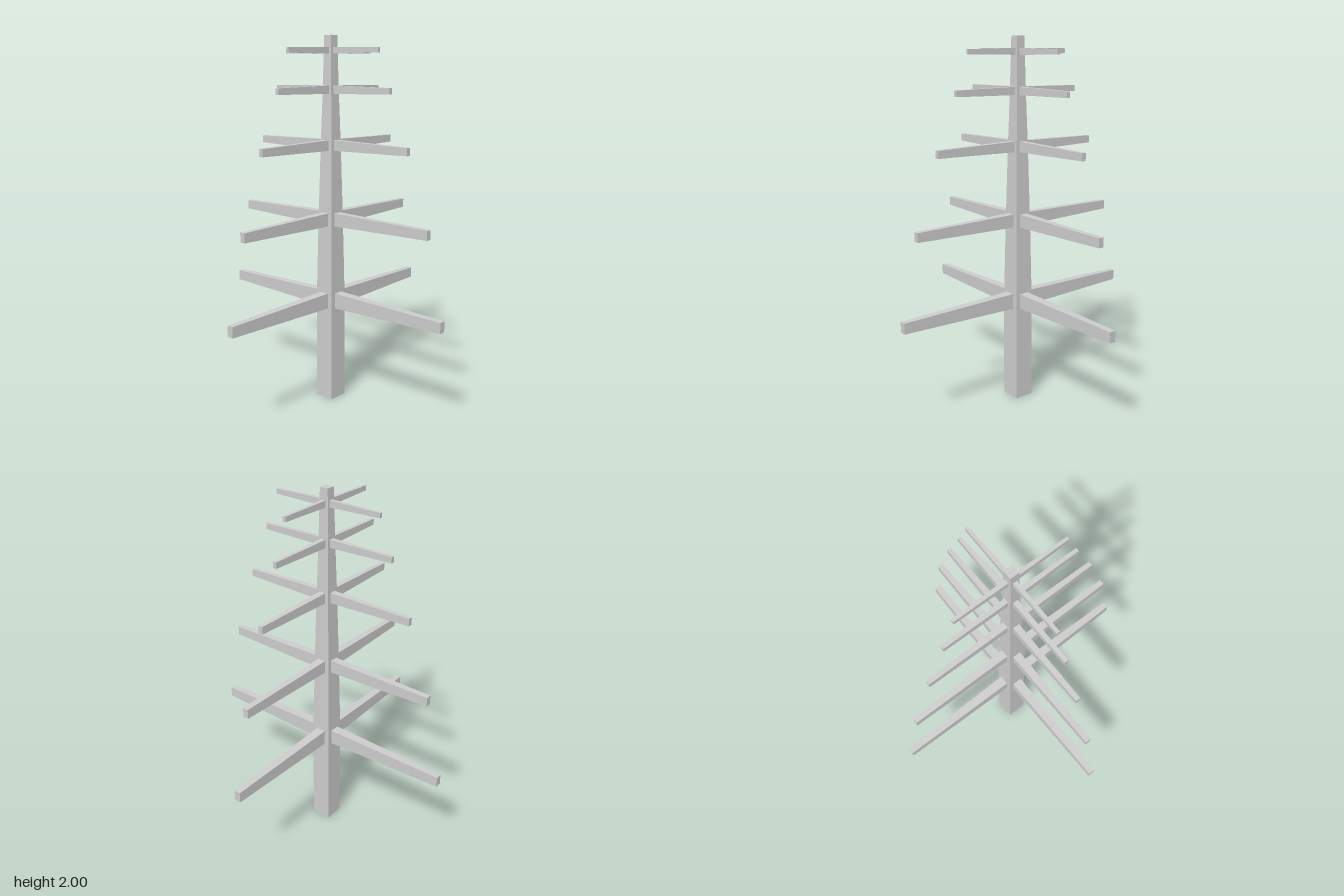
import * as THREE from 'three';

const material = new THREE.MeshStandardMaterial({ color: 0xcccccc, flatShading: true });

// Square bar along +y, tapering through sections of [y, halfX, halfZ]
function taperedBar(sections) {
  const height = sections.length - 1;
  const geo = new THREE.BoxGeometry(2, height, 2, 1, height, 1).translate(0, height / 2, 0);
  const pos = geo.attributes.position;
  for (let i = 0; i < pos.count; i++) {
    const [y, hx, hz] = sections[Math.round(pos.getY(i))];
    pos.setXYZ(i, Math.sign(pos.getX(i)) * hx, y, Math.sign(pos.getZ(i)) * hz);
  }
  geo.computeVertexNormals();
  return geo;
}

// Tiers: height, branch length, root half height, tip half height
const TIERS = [
  [0.572, 0.74, 0.044, 0.029],
  [1.027, 0.645, 0.037, 0.025],
  [1.428, 0.512, 0.029, 0.02],
  [1.72, 0.396, 0.022, 0.016],
  [1.922, 0.32, 0.018, 0.013],
];

export function createModel() {
  const model = new THREE.Group();
  model.name = 'bareTree';

  // Trunk: straight at the foot, narrowing above the lowest branches
  const profile = [[0, 0.056], [0.572, 0.055], [1.027, 0.047], [1.428, 0.038], [1.72, 0.03], [2, 0.024]];
  const trunk = new THREE.Mesh(taperedBar(profile.map(([y, r]) => [y, r, r])), material);
  trunk.name = 'trunk';
  model.add(trunk);

  // Four level branches per tier, in a cross
  TIERS.forEach(([y, length, root, tip], t) => {
    const tier = new THREE.Group();
    tier.name = `branchTier${t + 1}`;
    tier.position.y = y;
    const geo = taperedBar([[0, root, root * 0.64], [length, tip, tip * 0.62]]);
    geo.rotateZ(-Math.PI / 2);
    for (let i = 0; i < 4; i++) {
      const branch = new THREE.Mesh(geo, material);
      branch.name = 'branch';
      branch.rotation.y = i * Math.PI / 2;
      tier.add(branch);
    }
    model.add(tier);
  });

  return model;
}
